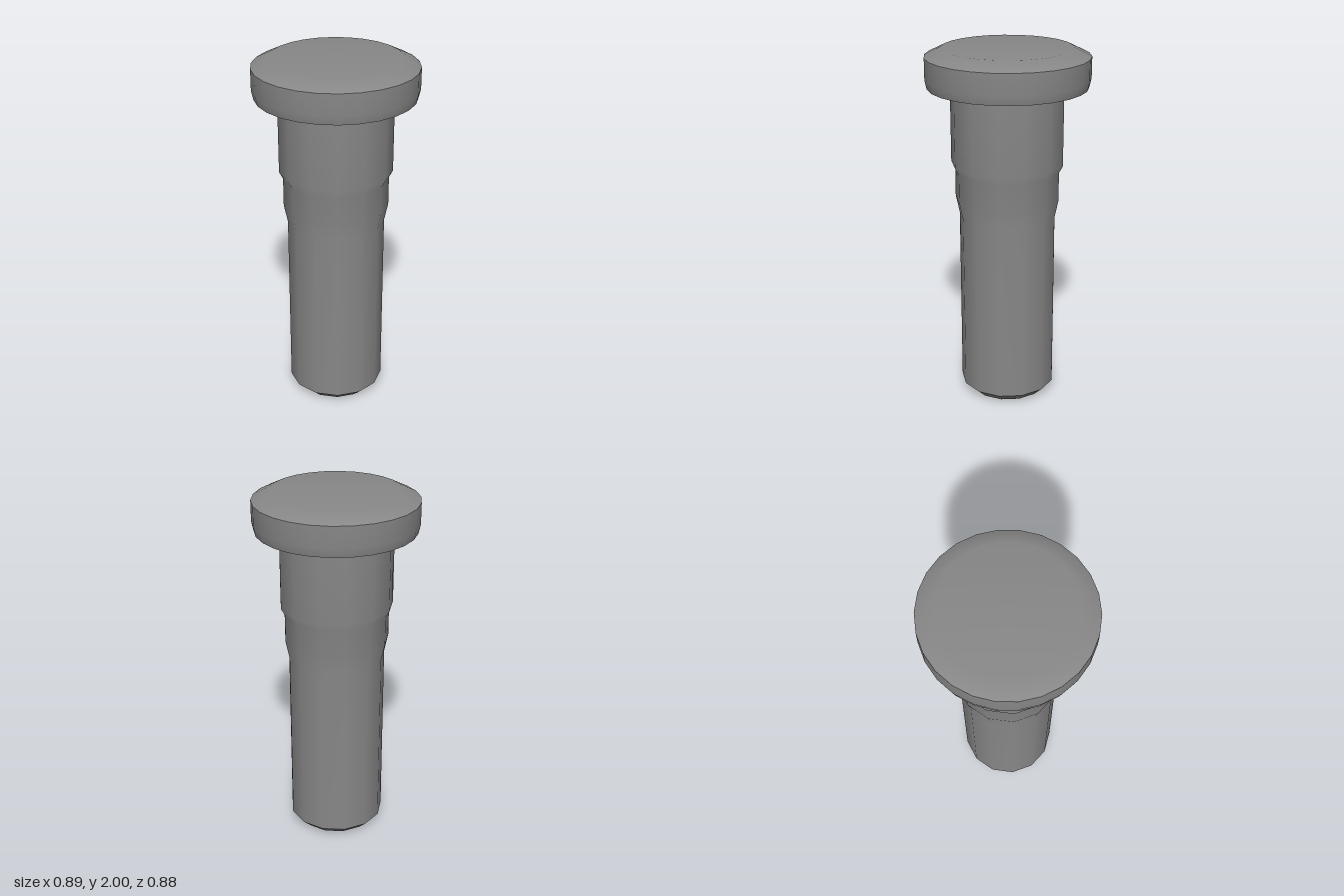
import * as THREE from 'three';

export function createModel() {
  const group = new THREE.Group();
  const steel = new THREE.MeshStandardMaterial({ color: 0x888888 });
  steel.name = 'grey steel';

  // Each band is smooth within itself and meets its neighbours at a sharp edge.
  // Profiles run bottom to top as [radius, height].
  function addBands(name, sides, bands) {
    const part = new THREE.Group();
    part.name = name;
    for (const [bandName, profile] of Object.entries(bands)) {
      const points = profile.map(([r, y]) => new THREE.Vector2(r, y));
      const mesh = new THREE.Mesh(new THREE.LatheGeometry(points, sides, Math.PI / 2), steel);
      mesh.name = bandName;
      part.add(mesh);
    }
    group.add(part);
  }

  // Stepped shaft with a chamfered tip
  addBands('shaft', 13, {
    tipFace: [[0, 0], [0.217, 0]],
    tipChamfer: [[0.217, 0], [0.269, 0.05]],
    shaftWall: [
      [0.269, 0.05], [0.269, 1.07], [0.29, 1.17],
      [0.29, 1.33], [0.311, 1.37], [0.311, 1.79],
    ],
  });

  // Broad head with a softly crowned top
  addBands('head', 26, {
    headUnderside: [[0.28, 1.79], [0.434, 1.79]],
    headRim: [[0.434, 1.79], [0.445, 1.84], [0.445, 1.955]],
    headCrown: [[0.445, 1.955], [0.353, 2], [0, 2]],
  });

  return group;
}
